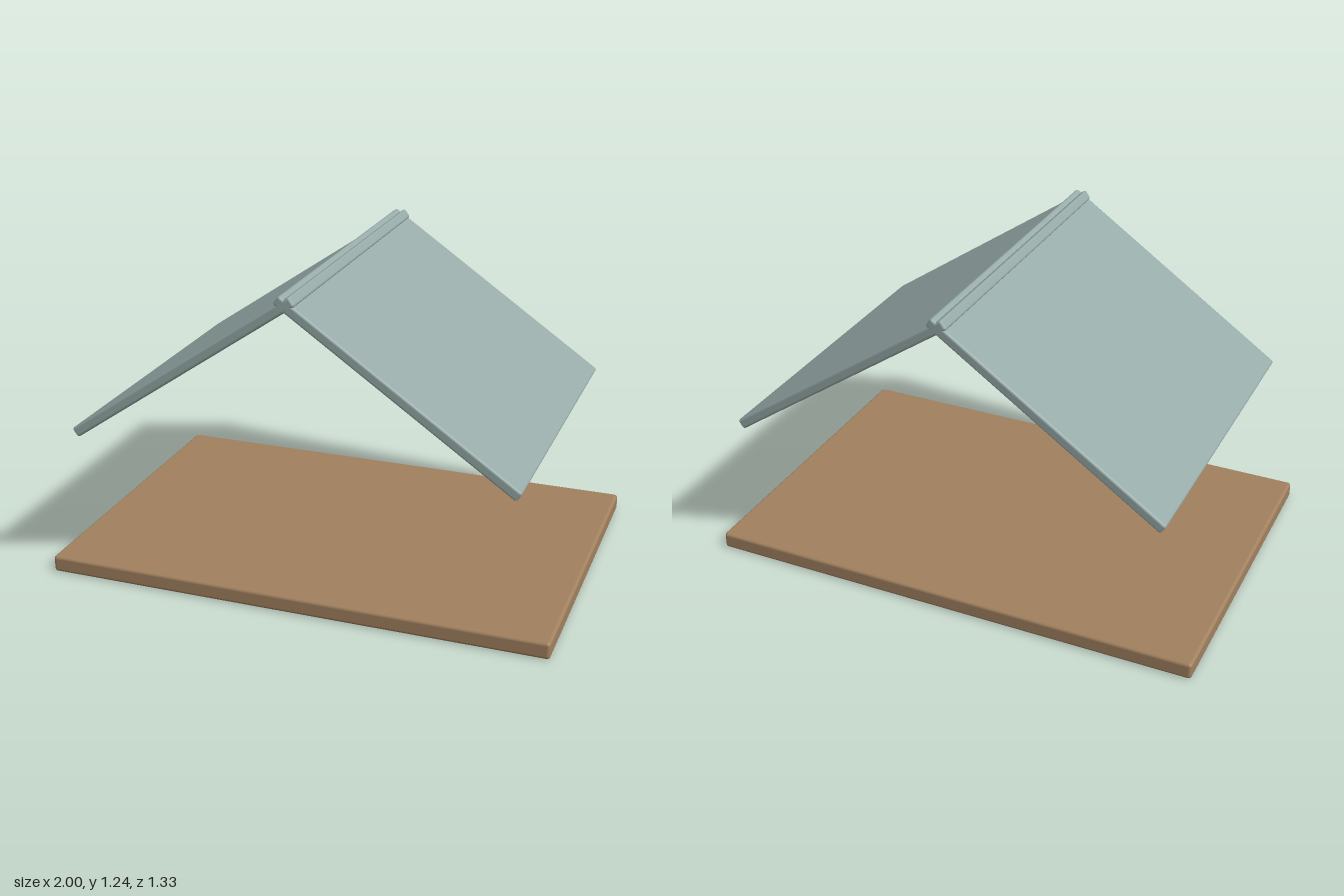
import * as THREE from 'three';
import { RoundedBoxGeometry } from 'three/addons/geometries/RoundedBoxGeometry.js';

const DEPTH = 1.333;

export function createModel() {
  const model = new THREE.Group();
  model.name = 'openShelter';

  const wood = new THREE.MeshStandardMaterial({ name: 'warm wood', color: 0xa1815f });
  const slate = new THREE.MeshStandardMaterial({ name: 'grey green roof', color: 0x96aaa8 });

  // Slab with softly rounded edges
  const slab = (name, width, height, radius, material) => {
    const mesh = new THREE.Mesh(new RoundedBoxGeometry(width, height, DEPTH, 3, radius), material);
    mesh.name = name;
    model.add(mesh);
    return mesh;
  };

  // Floor board
  slab('floor', 2, 0.067, 0.013, wood).position.y = 0.0335;

  // Two mirrored roof panels that cross at the ridge
  for (const [name, side] of [['leftRoofPanel', 1], ['rightRoofPanel', -1]]) {
    const panel = slab(name, 1.086, 0.041, 0.01, slate);
    panel.position.set(side * 0.416, 0.9215, 0);
    panel.rotation.z = -side * 0.604;
  }

  return model;
}
